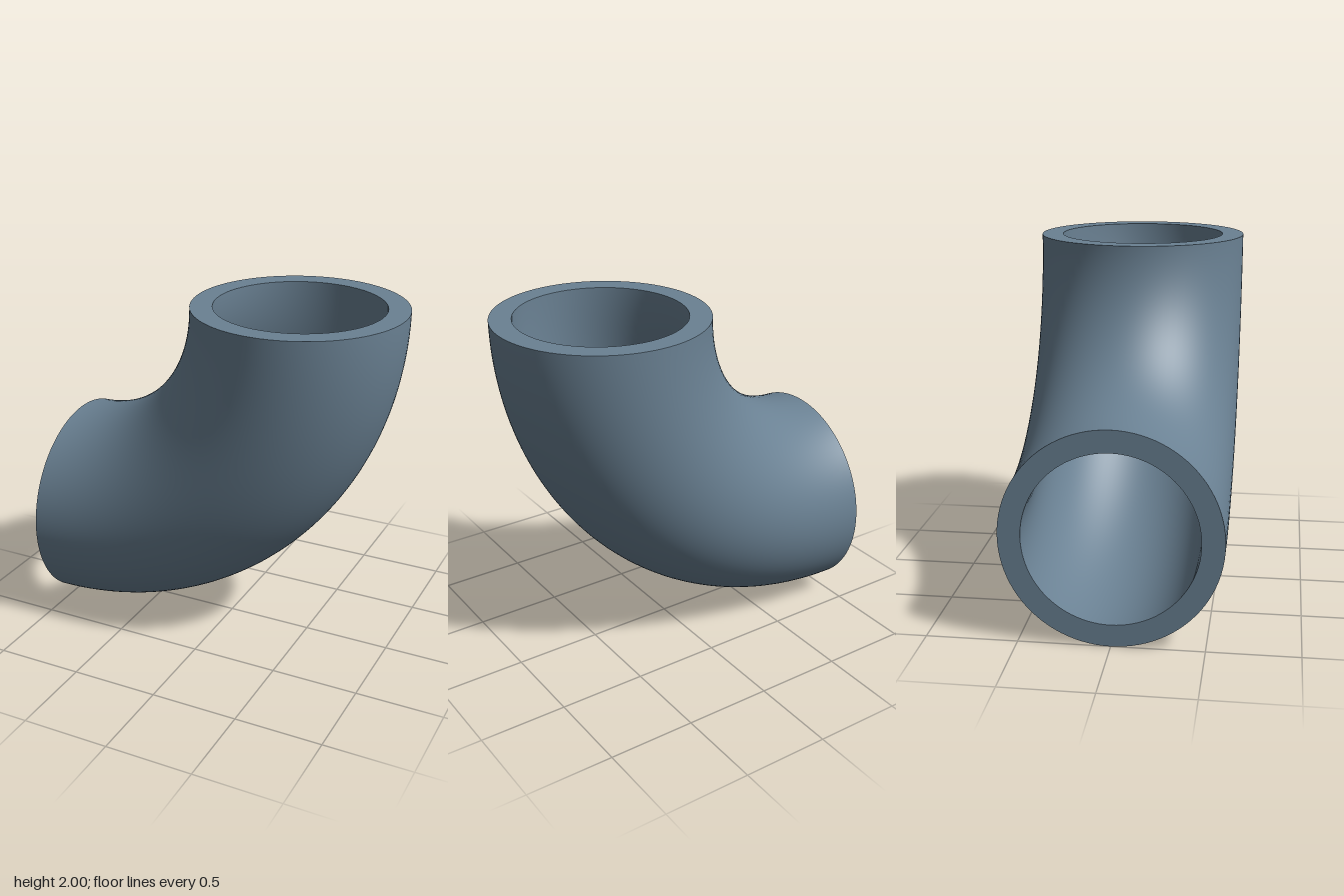
import * as THREE from 'three';

const BEND = 1.405;   // centreline radius of the elbow
const OUTER = 0.595;  // pipe outer radius
const BORE = 0.472;   // pipe inner radius
const SIDES = 96;

// Quarter torus sweeping from the side opening up to the top opening
function quarterBend(radius) {
  return new THREE.TorusGeometry(BEND, radius, SIDES, 80, Math.PI / 2).rotateZ(-Math.PI / 2);
}

// Turn a surface inside out
function invert(geometry) {
  const index = geometry.index;
  for (let i = 0; i < index.count; i += 3) {
    const a = index.getX(i);
    index.setX(i, index.getX(i + 2));
    index.setX(i + 2, a);
  }
  const normal = geometry.attributes.normal;
  for (let i = 0; i < normal.count; i++) {
    normal.setXYZ(i, -normal.getX(i), -normal.getY(i), -normal.getZ(i));
  }
  return geometry;
}

export function createModel() {
  const group = new THREE.Group();
  group.name = 'pipeElbow';
  const material = new THREE.MeshStandardMaterial({ color: 0x6a8193 });

  // The bend's centre sits at the upper left corner
  const add = (name, geometry) => {
    const mesh = new THREE.Mesh(geometry, material);
    mesh.name = name;
    mesh.position.set(-1, 2, 0);
    group.add(mesh);
  };

  // Outer wall and bore
  add('outerWall', quarterBend(OUTER));
  add('bore', invert(quarterBend(BORE)));

  // Flat annular rims closing the wall at both openings
  const rim = () => new THREE.RingGeometry(BORE, OUTER, SIDES);
  add('topRim', rim().rotateX(-Math.PI / 2).translate(BEND, 0, 0));
  add('sideRim', rim().rotateY(-Math.PI / 2).translate(0, -BEND, 0));

  return group;
}
